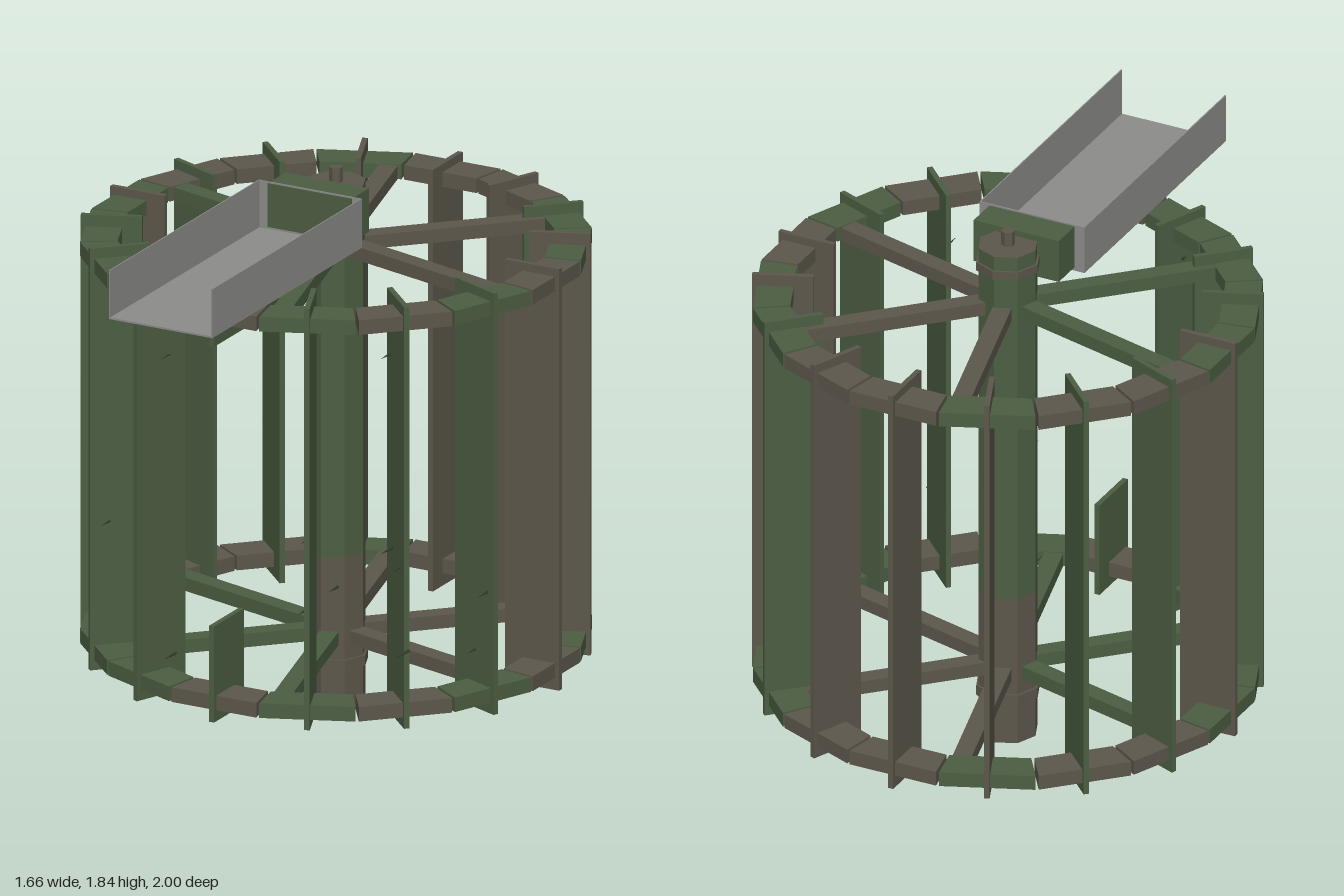
import * as THREE from 'three';

const mat = (name, color, extra = {}) => {
  const m = new THREE.MeshStandardMaterial({ color, ...extra });
  m.name = name;
  return m;
};

export function createModel() {
  const green = mat('mossy wood', 0x4c5e42, { flatShading: true });
  const brown = mat('weathered wood', 0x5c574b, { flatShading: true });
  const grey = mat('trough metal', 0x8c8c8a, { flatShading: true });
  const dark = mat('dark thorn', 0x2f3b2a, { flatShading: true });
  const pick = (pattern, i) => (pattern[i] === 'g' ? green : brown);

  const model = new THREE.Group();
  const wheel = new THREE.Group();
  wheel.name = 'wheel';
  wheel.position.z = -0.17;
  model.add(wheel);

  const add = (parent, name, geo, material, x = 0, y = 0, z = 0) => {
    const mesh = new THREE.Mesh(geo, material);
    mesh.name = name;
    mesh.position.set(x, y, z);
    parent.add(mesh);
    return mesh;
  };
  const box = (w, h, d) => new THREE.BoxGeometry(w, h, d);

  // Octagonal shaft, collars and pivot pin
  const post = (name, r, y0, y1, material, sides = 8) =>
    add(wheel, name, new THREE.CylinderGeometry(r, r, y1 - y0, sides), material, 0, (y0 + y1) / 2, 0);
  post('lowerShaft', 0.1, 0, 0.53, brown);
  post('upperShaft', 0.1, 0.53, 1.79, [green, brown, brown]);
  post('lowerCollar', 0.108, 0.145, 0.18, brown);
  post('upperCollar', 0.108, 1.71, 1.74, brown);
  post('pivotPin', 0.023, 1.79, 1.84, brown, 6);

  // Two rims of sixteen wedge blocks
  const inner = 0.695, outer = 0.815;
  const halfWidth = r => r * Math.tan(Math.PI / 16) - 0.005;
  const wedge = new THREE.Shape([
    [inner, -halfWidth(inner)], [outer, -halfWidth(outer)],
    [outer, halfWidth(outer)], [inner, halfWidth(inner)],
  ].map(([x, y]) => new THREE.Vector2(x, y)));
  const wedgeGeo = new THREE.ExtrudeGeometry(wedge, { depth: 0.05, bevelEnabled: false });
  wedgeGeo.rotateX(-Math.PI / 2);

  const rims = [
    { y: 0.228, blocks: 'bggbbgbbggggbgbg', name: 'lower' },
    { y: 1.555, blocks: 'bggbbgbbggggbgbg', name: 'upper' },
  ];
  for (const { y, blocks, name } of rims) {
    for (let i = 0; i < 16; i++) {
      add(wheel, name + 'RimBlock', wedgeGeo, pick(blocks, i), 0, y, 0).rotation.y = (i * Math.PI) / 8;
    }
    // Six spokes
    for (let i = 0; i < 6; i++) {
      const a = Math.PI / 4 + (i * Math.PI) / 3;
      const spoke = add(wheel, name + 'Spoke', box(0.62, 0.046, 0.062), pick('bbgggb', i),
        Math.cos(a) * 0.39, y + 0.025, -Math.sin(a) * 0.39);
      spoke.rotation.y = a;
    }
  }

  // Sixteen radial paddles; the front one is broken through the middle
  for (let i = 0; i < 16; i++) {
    const arm = new THREE.Group();
    arm.name = 'paddle';
    arm.rotation.y = (i * Math.PI) / 8;
    wheel.add(arm);
    const material = pick('bbgbbbggbggggggg', i);
    if (i === 12) {
      add(arm, 'brokenPaddleBottom', box(0.2, 0.33, 0.018), material, 0.73, 0.355, 0);
      add(arm, 'brokenPaddleTop', box(0.2, 0.15, 0.018), material, 0.73, 1.555, 0);
    } else {
      const shift = ((i * 7) % 4) * 0.004 - 0.006;
      add(arm, 'paddleBoard', box(0.2, 1.447, 0.018), material, 0.73, 0.915 + shift, 0);
    }
  }

  // Small thorns pointing forward from the wood: [x, y, base z]
  const thornGeo = new THREE.ConeGeometry(0.007, 0.08, 4).rotateX(Math.PI / 2).translate(0, 0, 0.04);
  const thorns = [
    [-0.62, 1.1, 0.11], [-0.695, 0.845, 0.11], [-0.535, 0.7, 0.35], [0.47, 1.43, 0.3],
    [0.49, 0.775, 0.34], [0.55, 0.735, 0.38], [0.735, 0.605, 0.13], [0.675, 0.39, 0.1],
    [0.3, 0.6, 0.55], [0.59, 0.46, 0.41], [-0.25, 0.32, 0.45], [-0.29, 1.48, 0.5],
    [-0.26, 1.35, 0.45], [0.05, 0.43, -0.1], [-0.05, 0.58, -0.1],
  ];
  for (const [x, y, z] of thorns) add(model, 'thorn', thornGeo, dark, x, y, z);

  // Open feed trough with an end wall, and the wooden spout block behind it
  const trough = new THREE.Group();
  trough.name = 'trough';
  model.add(trough);
  add(trough, 'troughFloor', box(0.38, 0.006, 1), grey, 0, 1.65, 0.5);
  for (const s of [-1, 1]) add(trough, 'troughSide', box(0.004, 0.168, 1), grey, s * 0.189, 1.731, 0.5);
  add(trough, 'troughEnd', box(0.38, 0.168, 0.004), grey, 0, 1.731, 0.002);
  add(trough, 'spoutBlock', box(0.31, 0.15, 0.118), green, 0, 1.735, -0.053);
  return model;
}
